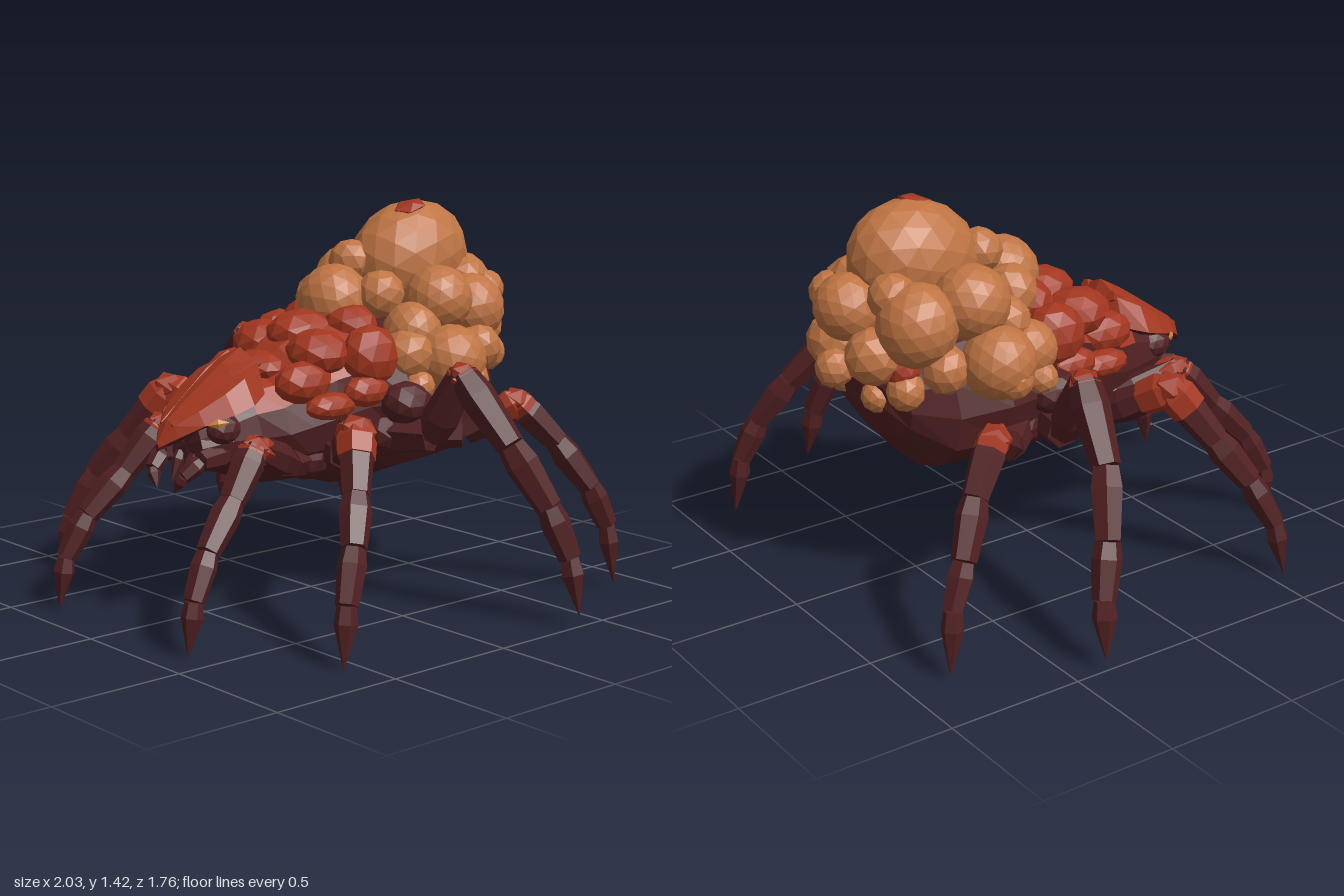
import * as THREE from 'three';

const paint = (name, color) => {
  const m = new THREE.MeshStandardMaterial({ color, flatShading: true });
  m.name = name;
  return m;
};

export function createModel() {
  const group = new THREE.Group();
  const dark = paint('dark maroon shell', 0x512022);
  const red = paint('red carapace', 0xa2361f);
  const tan = paint('tan egg', 0xbf7443);
  const amber = paint('amber eye', 0xc9823a);
  const V = (a) => new THREE.Vector3(...a);
  let seed = 7;
  const rnd = () => (seed = (seed * 16807) % 2147483647) / 2147483647 - 0.5;

  const add = (name, geo, mat, parent = group) => {
    const m = new THREE.Mesh(geo, mat);
    m.name = name;
    parent.add(m);
    return m;
  };

  // Faceted ellipsoid
  const lump = (name, [x, y, z], [rx, ry, rz], mat, detail = 1, parent = group) => {
    const m = add(name, new THREE.IcosahedronGeometry(1, detail), mat, parent);
    m.position.set(x, y, z);
    m.scale.set(rx, ry, rz);
    return m;
  };

  // Six-sided limb segment from a to b, swelling near its start
  const limb = (name, a, b, r, mat, parent, start = 0.75, end = 0.75) => {
    const dir = b.clone().sub(a), L = dir.length();
    const pts = [[0, 0], [start * r, 0], [r, 0.3 * L], [end * r, L], [0, L + 0.005]];
    const geo = new THREE.LatheGeometry(pts.map((p) => new THREE.Vector2(...p)), 6);
    const m = add(name, geo, mat, parent);
    m.position.copy(a);
    m.quaternion.setFromUnitVectors(new THREE.Vector3(0, 1, 0), dir.normalize());
    return m;
  };

  // Skin over rings [z, side height, half width, top, bottom], red where isRed(z, sin) holds
  const loft = (name, rings, n, rough, isRed) => {
    const pos = [], lists = [[], []];
    for (const [z, cy, w, top, bottom] of rings)
      for (let j = 0; j < n; j++) {
        const a = (j / n) * Math.PI * 2, s = Math.sin(a), k = 1 + rnd() * rough;
        pos.push(Math.cos(a) * w * k, cy + s * (s > 0 ? top - cy : cy - bottom) * k, z + rnd() * rough * 0.2);
      }
    const last = rings.length - 1;
    for (let i = 0; i < last; i++)
      for (let j = 0; j < n; j++) {
        const s = Math.sin(((j + 0.5) / n) * Math.PI * 2);
        const z = (rings[i][0] + rings[i + 1][0]) / 2;
        const a = i * n + j, b = i * n + ((j + 1) % n);
        lists[isRed(z, s) ? 1 : 0].push(a, b, b + n, a, b + n, a + n);
      }
    // End caps
    for (const i of [0, last]) {
      const c = pos.length / 3;
      pos.push(0, rings[i][1], rings[i][0]);
      for (let j = 0; j < n; j++) {
        const a = i * n + j, b = i * n + ((j + 1) % n);
        lists[0].push(c, ...(i ? [a, b] : [b, a]));
      }
    }
    const geo = new THREE.BufferGeometry();
    geo.setAttribute('position', new THREE.Float32BufferAttribute(pos, 3));
    geo.setIndex([...lists[0], ...lists[1]]);
    geo.addGroup(0, lists[0].length, 0);
    geo.addGroup(lists[0].length, lists[1].length, 1);
    geo.computeVertexNormals();
    return add(name, geo, [dark, red]);
  };

  // Abdomen and thorax
  loft('body', [
    [-0.72, 0.8, 0.13, 0.88, 0.72], [-0.66, 0.75, 0.27, 0.92, 0.6], [-0.53, 0.73, 0.36, 1.0, 0.45],
    [-0.35, 0.75, 0.4, 1.04, 0.43], [-0.16, 0.74, 0.37, 1.05, 0.41], [-0.03, 0.73, 0.31, 1.03, 0.41],
    [0.1, 0.7, 0.27, 1.0, 0.44], [0.2, 0.68, 0.25, 0.94, 0.44], [0.29, 0.66, 0.22, 0.87, 0.46],
    [0.38, 0.65, 0.18, 0.85, 0.49], [0.48, 0.65, 0.15, 0.78, 0.52], [0.58, 0.63, 0.1, 0.7, 0.54],
  ], 14, 0.08, (z, s) => z > -0.17 && z < 0.35 && s > 0.3);

  // Pointed hood over the head
  loft('headHood', [
    [0.3, 0.81, 0.09, 0.9, 0.78], [0.335, 0.8, 0.14, 0.95, 0.76], [0.42, 0.775, 0.188, 0.9, 0.74],
    [0.5, 0.75, 0.178, 0.845, 0.72], [0.59, 0.715, 0.125, 0.78, 0.685], [0.66, 0.67, 0.06, 0.73, 0.64],
    [0.705, 0.635, 0.008, 0.65, 0.62],
  ], 8, 0, (z, s) => s > 0);

  // Carapace bumps along the back
  lump('backBump', [0, 0.97, 0.04], [0.12, 0.09, 0.15], red);
  lump('neckBump', [0, 0.87, 0.25], [0.12, 0.06, 0.09], red);
  const bumps = [
    [0.15, 0.92, 0.1, 0.12, 0.09, 0.12], [0.25, 0.9, -0.06, 0.1, 0.12, 0.12], [0.29, 0.79, -0.01, 0.06, 0.06, 0.1],
    [0.27, 0.75, 0.14, 0.06, 0.05, 0.11], [0.19, 0.83, 0.2, 0.08, 0.08, 0.12], [0.1, 1.0, -0.09, 0.12, 0.08, 0.1],
  ];
  // Leg joints: root, hip end, knee and so on to the tip, then knee radius, reach of the red, thickness
  const legs = [
    ['frontLeg', [[0.13, 0.55, 0.15], [0.19, 0.55, 0.27], [0.27, 0.65, 0.49], [0.31, 0.49, 0.62], [0.35, 0.34, 0.76], [0.375, 0.19, 0.84], [0.38, 0.01, 0.87]], 0.054, 0.28, 1],
    ['secondLeg', [[0.18, 0.57, 0.04], [0.32, 0.58, 0.12], [0.53, 0.715, 0.25], [0.65, 0.53, 0.36], [0.74, 0.38, 0.45], [0.795, 0.21, 0.53], [0.82, 0.01, 0.565]], 0.072, 0.42, 1.06],
    ['thirdLeg', [[0.27, 0.62, -0.12], [0.46, 0.63, -0.17], [0.6, 0.87, -0.185], [0.79, 0.64, -0.235], [0.905, 0.43, -0.31], [0.96, 0.25, -0.365], [0.997, 0.05, -0.38]], 0.056, 0.1, 1.12],
    ['rearLeg', [[0.27, 0.62, -0.24], [0.42, 0.61, -0.37], [0.54, 0.725, -0.52], [0.62, 0.57, -0.65], [0.7, 0.4, -0.75], [0.73, 0.25, -0.815], [0.75, 0.03, -0.84]], 0.06, 0.28, 1.03],
  ];
  const radii = [0.07, 0.06, 0.06, 0.055, 0.048, 0.039];

  for (const s of [1, -1]) {
    const side = s > 0 ? 'left' : 'right';
    const P = ([x, y, z]) => V([x * s, y, z]);
    for (const [x, y, z, ...r] of bumps) lump(side + 'CarapaceBump', [x * s, y, z], r, red);
    lump(side + 'RumpSpot', [0.2 * s, 0.89, -0.66], [0.06, 0.07, 0.06], red);
    lump(side + 'Shoulder', [0.36 * s, 0.74, -0.14], [0.09, 0.08, 0.1], dark);

    for (const [name, joints, kneeR, reach, thick] of legs) {
      const leg = new THREE.Group();
      leg.name = side + name[0].toUpperCase() + name.slice(1);
      group.add(leg);
      const p = joints.map(P);
      lump('hip', p[0].toArray(), [0.1, 0.09, 0.1], dark, 1, leg);
      radii.forEach((r, i) => limb('segment', p[i], p[i + 1], r * thick, dark, leg, 0.8, i === 5 ? 0.08 : 0.78));
      // Red knee
      lump('kneeCap', p[2].toArray(), [kneeR, kneeR * 0.9, kneeR], red, 0, leg);
      limb('kneeThigh', p[2], p[2].clone().lerp(p[1], reach), kneeR, red, leg, 0.8, 0.9);
      limb('kneeShin', p[2], p[2].clone().lerp(p[3], reach), kneeR, red, leg, 0.8, 0.95);
    }

    // Hood ridge, then eye and dark socket beneath it
    limb(side + 'HoodRidge', P([0.08, 0.91, 0.32]), P([0.03, 0.71, 0.66]), 0.035, red, group, 0.6, 0.3);
    lump(side + 'EyeSocket', [0.115 * s, 0.69, 0.5], [0.05, 0.055, 0.07], dark);
    const eye = add(side + 'Eye', new THREE.OctahedronGeometry(1), amber);
    eye.scale.set(0.04, 0.018, 0.009);
    eye.position.set(0.152 * s, 0.722, 0.553);
    eye.rotation.set(-0.2, 0.85 * s, 0.3 * s);

    // Mandibles and small fangs
    const jaw = [[0.1, 0.6, 0.48], [0.11, 0.59, 0.6], [0.09, 0.54, 0.66], [0.05, 0.48, 0.67]].map(P);
    [0.045, 0.035, 0.026].forEach((r, i) => limb(side + 'Mandible', jaw[i], jaw[i + 1], r, dark, group, 0.75, i === 2 ? 0.1 : 0.8));
    limb(side + 'Fang', P([0.04, 0.6, 0.57]), P([0.03, 0.5, 0.62]), 0.025, dark, group, 0.75, 0.1);
    limb(side + 'CheekSpine', P([0.14, 0.62, 0.4]), P([0.16, 0.52, 0.47]), 0.03, dark, group, 0.75, 0.1);
  }

  // Egg cluster: x, y, z, radius
  const big = lump('largeEgg', [0, 1.205, -0.485], [0.19, 0.21, 0.25], tan, 2);
  big.rotation.x = 0.3;
  const spot = lump('eggSpot', [0.03, 1.393, -0.45], [0.065, 0.025, 0.075], red, 0);
  spot.rotation.x = 0.3;
  const eggs = [
    [0, 1.07, -0.11, 0.135], [-0.06, 1.2, -0.25, 0.085], [0.13, 1.1, -0.22, 0.09], [-0.15, 1.06, -0.18, 0.1],
    [-0.25, 1.1, -0.41, 0.135], [0.25, 1.08, -0.4, 0.125], [-0.37, 0.91, -0.38, 0.13], [0.35, 0.87, -0.37, 0.13],
    [-0.3, 0.9, -0.21, 0.105], [0.29, 0.9, -0.21, 0.1], [-0.37, 0.81, -0.2, 0.06], [0.35, 0.79, -0.21, 0.06],
    [-0.22, 1.05, -0.61, 0.145], [0.24, 1.03, -0.57, 0.13], [-0.3, 0.9, -0.55, 0.085], [0.33, 0.9, -0.53, 0.085],
    [0, 1.08, -0.75, 0.12], [0.17, 1.08, -0.72, 0.075], [-0.14, 0.94, -0.74, 0.1], [0.1, 0.93, -0.75, 0.1],
    [0.02, 0.86, -0.8, 0.07], [-0.22, 0.82, -0.66, 0.07], [0.22, 0.85, -0.68, 0.075], [-0.1, 0.77, -0.7, 0.06],
    [0.14, 0.76, -0.69, 0.055], [0.25, 0.97, -0.27, 0.11], [-0.25, 1.0, -0.28, 0.1], [-0.14, 1.14, -0.66, 0.085],
    [0.14, 1.12, -0.64, 0.085], [-0.43, 0.86, -0.36, 0.07], [0.4, 0.8, -0.42, 0.07],
  ];
  for (const [x, y, z, r] of eggs) {
    const egg = lump('egg', [x, y, z], [r, r * 1.04, r], tan, r > 0.1 ? 2 : 1);
    egg.rotation.set(rnd() * 6, rnd() * 6, 0);
  }
  return group;
}
